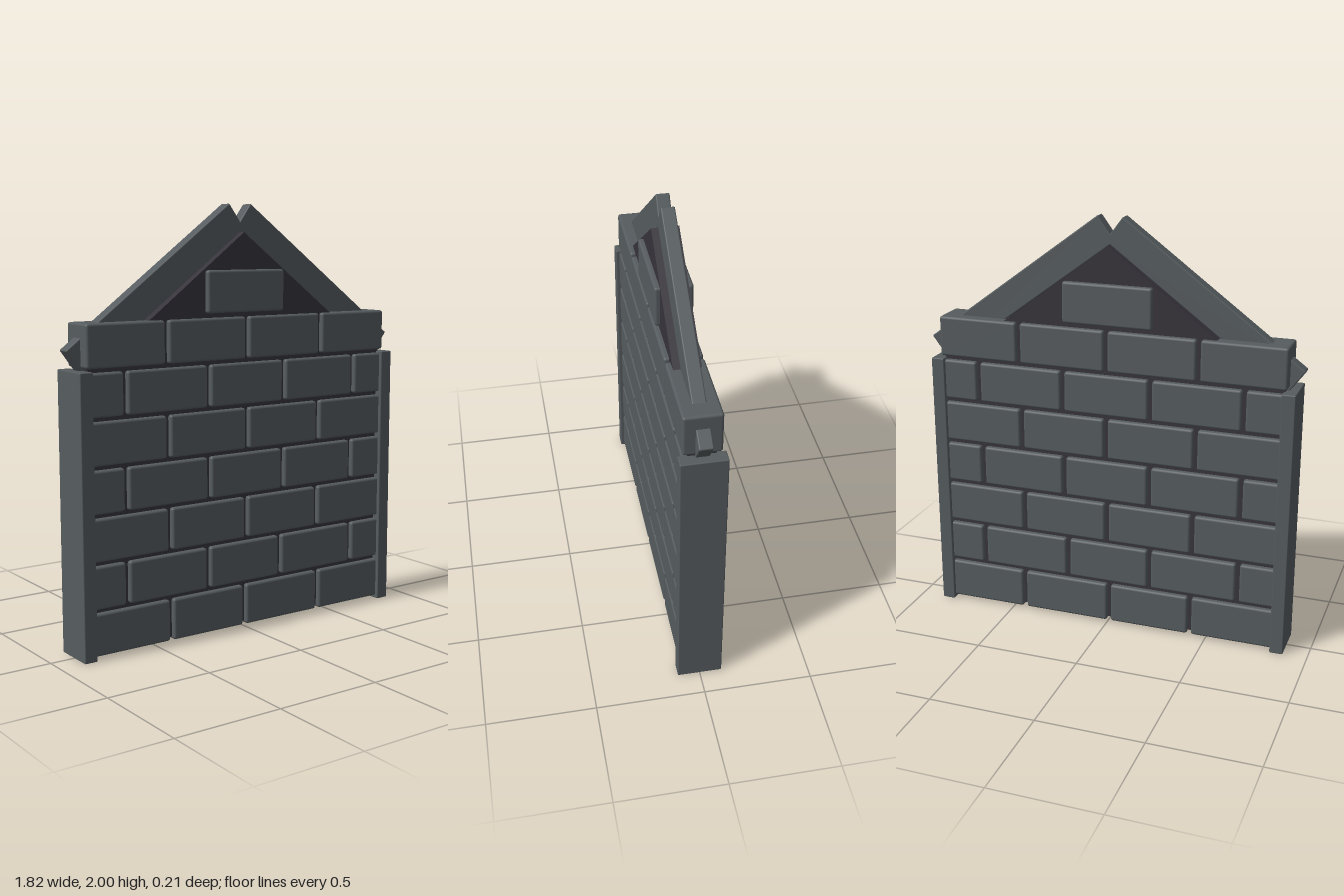
import * as THREE from 'three';
import { RoundedBoxGeometry } from 'three/addons/geometries/RoundedBoxGeometry.js';

const stone = new THREE.MeshStandardMaterial({ color: 0x565c5f });
stone.name = 'grey stone';
const mortar = new THREE.MeshStandardMaterial({ color: 0x37343b });
mortar.name = 'dark mortar';

// Block with softened edges, given by its bounds in x and y and its depth
function block(name, x0, x1, y0, y1, depth, bevel = 0.012) {
  const mesh = new THREE.Mesh(new RoundedBoxGeometry(x1 - x0, y1 - y0, depth, 2, bevel), stone);
  mesh.name = name;
  mesh.position.set((x0 + x1) / 2, (y0 + y1) / 2, 0);
  return mesh;
}

export function createModel() {
  const model = new THREE.Group();
  model.name = 'gabledBrickWall';

  // Mortar core with gable peak, recessed behind the bricks
  const outline = new THREE.Shape([
    [-0.83, 0.025], [0.83, 0.025], [0.83, 1.47], [0.535, 1.47],
    [0, 1.87], [-0.535, 1.47], [-0.83, 1.47],
  ].map(([x, y]) => new THREE.Vector2(x, y)));
  const coreGeometry = new THREE.ExtrudeGeometry(outline, { depth: 0.124, bevelEnabled: false });
  coreGeometry.translate(0, 0, -0.062);
  const core = new THREE.Mesh(coreGeometry, mortar);
  core.name = 'mortarCore';
  model.add(core);

  // Brick courses, listed by the x positions of their joints
  const courses = [
    [-0.42, -0.01, 0.435],
    [-0.65, -0.215, 0.2, 0.645],
    [-0.425, 0, 0.425],
    [-0.65, -0.21, 0.215, 0.64],
    [-0.43, 0.005, 0.43],
    [-0.65, -0.21, 0.22, 0.65],
    [-0.435, 0.005, 0.44],
  ];
  const gap = 0.01;
  courses.forEach((joints, row) => {
    const course = new THREE.Group();
    course.name = `brickCourse${row + 1}`;
    const end = row === 6 ? 0.842 : 0.84;
    const edges = [-end - gap, ...joints, end + gap];
    const y = 0.014 + row * 0.2128;
    for (let i = 0; i < edges.length - 1; i++) {
      course.add(block('brick', edges[i] + gap, edges[i + 1] - gap, y, y + 0.194, 0.172));
    }
    model.add(course);
  });
  model.add(block('gableBrick', -0.216, 0.216, 1.506, 1.7, 0.172));

  for (const side of [-1, 1]) {
    // Corner posts
    const post = block('cornerPost', -0.032, 0.032, 0, 1.28, 0.206, 0.005);
    post.position.x = side * 0.853;
    model.add(post);

    // Sloping roof beams, crossing in a notch at the peak
    const beam = block('roofBeam', -0.53, 0.53, -0.07, 0.07, 0.062, 0.006);
    beam.position.set(side * 0.444, 1.629, 0);
    beam.rotation.z = -side * 0.638;
    model.add(beam);
  }
  return model;
}
